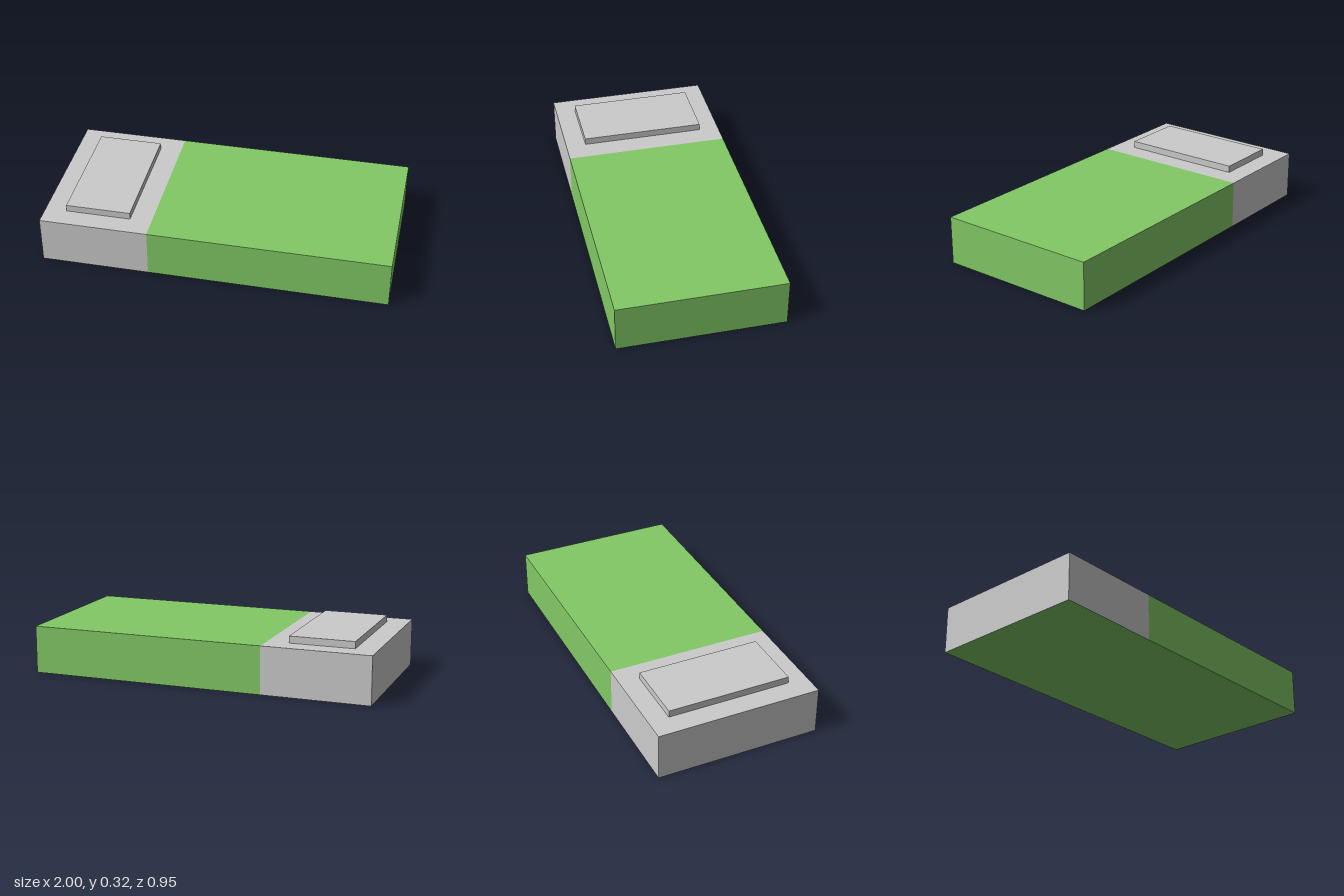
import * as THREE from 'three';

const LENGTH = 2, HEIGHT = 0.276, DEPTH = 0.948;
const SEAM = -0.375; // x where the grey end meets the green part

export function createModel() {
  const group = new THREE.Group();
  const grey = new THREE.MeshStandardMaterial({ color: 0xcccccc });
  const green = new THREE.MeshStandardMaterial({ color: 0x82c966 });

  // Slab: one box, split across its length at the seam
  const slab = new THREE.BoxGeometry(LENGTH, HEIGHT, DEPTH, 2, 1, 1);
  const pos = slab.attributes.position;
  const normal = slab.attributes.normal;
  for (let i = 0; i < pos.count; i++) {
    if (Math.abs(pos.getX(i)) < 0.01) pos.setX(i, SEAM);
  }
  // Faces left of the seam are grey, except the underside, which is all green
  slab.clearGroups();
  for (let i = 0; i < slab.index.count; i += 3) {
    const corners = [0, 1, 2].map((k) => slab.index.getX(i + k));
    const midX = corners.reduce((sum, v) => sum + pos.getX(v), 0) / 3;
    const underside = normal.getY(corners[0]) < -0.5;
    slab.addGroup(i, 3, midX < SEAM && !underside ? 0 : 1);
  }
  const body = new THREE.Mesh(slab, [grey, green]);
  body.name = 'slab';
  body.position.y = HEIGHT / 2;
  group.add(body);

  // Raised pad on the grey end
  const pad = new THREE.Mesh(new THREE.BoxGeometry(0.375, 0.04, 0.714), grey);
  pad.name = 'raisedPad';
  pad.position.set(-0.6875, HEIGHT + 0.02, 0);
  group.add(pad);

  return group;
}
